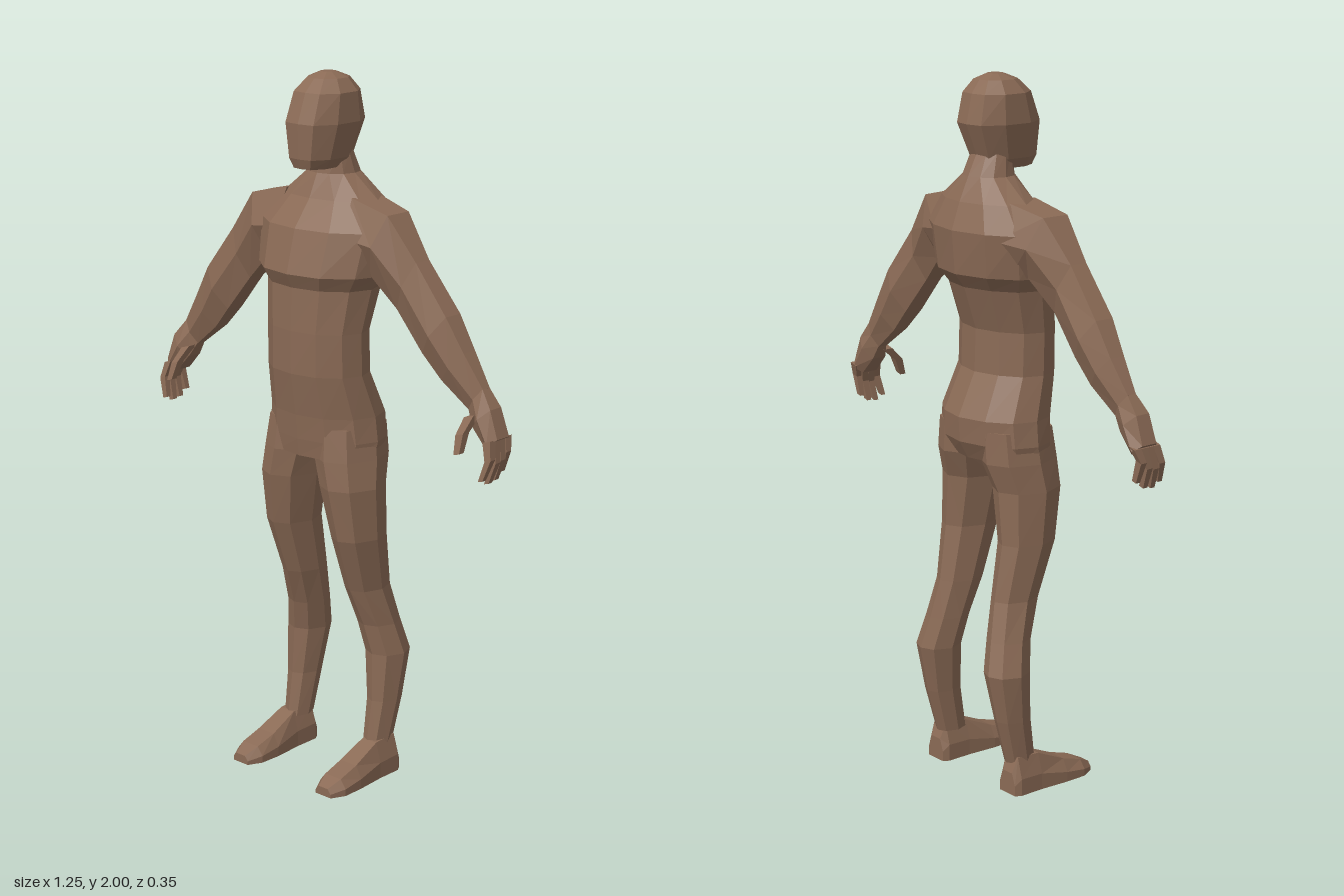
import * as THREE from 'three';

// Closed faceted skin over a list of rings (arrays of [x, y, z]); faces always point outward.
function loft(rings) {
  const tris = [];
  const n = rings[0].length;
  for (let r = 0; r < rings.length - 1; r++) {
    for (let i = 0; i < n; i++) {
      const j = (i + 1) % n;
      const a = rings[r][i], b = rings[r][j], c = rings[r + 1][j], d = rings[r + 1][i];
      tris.push([a, b, c], [a, c, d]);
    }
  }
  const cap = (ring, flip) => {
    const mid = [0, 1, 2].map((k) => ring.reduce((sum, p) => sum + p[k], 0) / n);
    ring.forEach((p, i) => {
      const q = ring[(i + 1) % n];
      tris.push(flip ? [mid, q, p] : [mid, p, q]);
    });
  };
  cap(rings[0], true);
  cap(rings[rings.length - 1], false);
  let volume = 0;
  for (const [a, b, c] of tris) {
    volume += new THREE.Vector3(...a).dot(new THREE.Vector3(...b).cross(new THREE.Vector3(...c)));
  }
  if (volume < 0) tris.forEach((t) => t.reverse());
  const geometry = new THREE.BufferGeometry();
  geometry.setAttribute('position', new THREE.Float32BufferAttribute(tris.flat(2), 3));
  geometry.computeVertexNormals();
  return geometry;
}

// Symmetric horizontal ring from half an outline; row = [y, halfWidth, zFront, zBack]
function bodyRing([y, w, zf, zb], outline) {
  const mid = (zf + zb) / 2, half = (zf - zb) / 2;
  const side = outline.map(([u, v]) => [u * w, y, mid + v * half]);
  const other = side.slice(1, -1).reverse().map(([x, yy, z]) => [-x, yy, z]);
  return [...side, ...other];
}

const TORSO_OUTLINE = [[0, 1], [0.5, 0.88], [0.87, 0.5], [1, 0], [0.87, -0.5], [0.5, -0.84], [0, -1]];
const HEAD_OUTLINE = [[0, 1], [0.6, 0.94], [1, 0.4], [1, -0.4], [0.6, -0.92], [0, -1]];
const LIMB_OUTLINE = [[0, 1], [0.65, 0.75], [1, 0], [0.65, -0.75], [0, -1], [-0.65, -0.75], [-1, 0], [-0.65, 0.75]];

const TORSO = [
  [0.95, 0.18, 0.098, -0.12], [1.0, 0.185, 0.105, -0.148], [1.07, 0.177, 0.112, -0.152],
  [1.19, 0.16, 0.13, -0.095], [1.31, 0.16, 0.13, -0.09], [1.43, 0.175, 0.125, -0.13],
  [1.47, 0.205, 0.145, -0.162], [1.59, 0.22, 0.113, -0.172], [1.665, 0.16, 0.055, -0.145],
  [1.73, 0.075, 0.025, -0.115], [1.79, 0.062, 0.015, -0.085],
];
const HEAD = [
  [1.748, 0.05, 0.088, -0.06], [1.775, 0.066, 0.097, -0.082], [1.87, 0.085, 0.1, -0.12],
  [1.95, 0.079, 0.07, -0.102], [1.985, 0.052, 0.035, -0.075], [2.0, 0.02, 0.0, -0.04],
];
// [y, xInner, xOuter, zFront, zBack]
const LEG = [
  [1.04, 0, 0.175, 0.09, -0.13], [0.95, 0, 0.188, 0.1, -0.13], [0.87, 0.025, 0.197, 0.1, -0.102],
  [0.72, 0.055, 0.194, 0.075, -0.1], [0.56, 0.065, 0.178, 0.02, -0.125], [0.45, 0.077, 0.195, -0.022, -0.15],
  [0.36, 0.09, 0.215, -0.04, -0.173], [0.22, 0.11, 0.203, -0.035, -0.145], [0.09, 0.118, 0.192, -0.015, -0.11],
];
// [z, xInner, xOuter, yTop]
const FOOT = [
  [-0.112, 0.13, 0.195, 0.065], [-0.095, 0.12, 0.205, 0.11], [-0.02, 0.12, 0.205, 0.105],
  [0.07, 0.113, 0.212, 0.065], [0.135, 0.115, 0.212, 0.045], [0.176, 0.135, 0.192, 0.025],
];
// [xTop, yTop, xBottom, yBottom, zFront, zBack]
const ARM = [
  [0.12, 1.675, 0.14, 1.47, 0.06, -0.13], [0.25, 1.645, 0.19, 1.475, 0.055, -0.1],
  [0.34, 1.53, 0.275, 1.395, 0.03, -0.068], [0.445, 1.4, 0.365, 1.29, 0.032, -0.076],
  [0.5, 1.31, 0.425, 1.225, 0.018, -0.068], [0.558, 1.222, 0.51, 1.16, 0.0, -0.052],
];
const HAND = [
  [0.557, 1.223, 0.511, 1.161, 0.0, -0.052], [0.595, 1.175, 0.535, 1.12, 0.02, -0.062],
  [0.622, 1.1, 0.582, 1.07, 0.024, -0.066],
];

// Ring across an arm: paired points on top and bottom, one in front and one behind
function armRing([xt, yt, xb, yb, zf, zb]) {
  const mid = (zf + zb) / 2, half = (zf - zb) / 2;
  const at = (t, v) => [xt + (xb - xt) * t, yt + (yb - yt) * t, mid + v * half];
  return [at(0, 0.55), at(0.5, 1), at(1, 0.55), at(1, -0.55), at(0.5, -1), at(0, -0.55)];
}

// Tapered four-sided digit along a few points
function digit(points, radius) {
  return loft(points.map(([x, y, z], i) => {
    const r = radius * (1 - 0.2 * i);
    return [[x - r, y - r * 0.3, z - r], [x + r, y + r * 0.3, z - r], [x + r, y + r * 0.3, z + r], [x - r, y - r * 0.3, z + r]];
  }));
}

export function createModel() {
  const model = new THREE.Group();
  model.name = 'figure';
  const skin = new THREE.MeshStandardMaterial({ color: 0x8a6a55 });
  skin.name = 'brown skin';

  const add = (name, geometry, parent = model) => {
    const mesh = new THREE.Mesh(geometry, skin);
    mesh.name = name;
    parent.add(mesh);
  };

  add('torso', loft(TORSO.map((row) => bodyRing(row, TORSO_OUTLINE))));
  add('head', loft(HEAD.map((row) => bodyRing(row, HEAD_OUTLINE))));

  // Limbs for the left (+x) and right (-x) sides
  for (const [side, s] of [['left', 1], ['right', -1]]) {
    const mirror = (rings) => loft(rings.map((ring) => ring.map(([x, y, z]) => [s * x, y, z])));

    add(`${side}Leg`, mirror(LEG.map(([y, xi, xo, zf, zb]) =>
      LIMB_OUTLINE.map(([u, v]) => [(xi + xo) / 2 + (u * (xo - xi)) / 2, y, (zf + zb) / 2 + (v * (zf - zb)) / 2]))));

    add(`${side}Foot`, mirror(FOOT.map(([z, xi, xo, top]) => {
      const inset = (xo - xi) * 0.2;
      return [[xi, 0, z], [xo, 0, z], [xo, top * 0.45, z], [xo - inset, top, z], [xi + inset, top, z], [xi, top * 0.45, z]];
    })));

    add(`${side}Arm`, mirror(ARM.map(armRing)));

    // Hand with four curled fingers and a thumb
    const hand = new THREE.Group();
    hand.name = `${side}Hand`;
    model.add(hand);
    add('palm', mirror(HAND.map(armRing)), hand);
    for (let i = 0; i < 4; i++) {
      const z = 0.012 - i * 0.022;
      const reach = [0.012, 0, 0.004, 0.022][i];
      const path = [[0.602, 1.095, z], [0.615, 1.035 + reach, z + 0.012], [0.598, 0.978 + reach, z + 0.022 - i * 0.004]];
      add('finger', digit(path.map(([x, y, zz]) => [s * x, y, zz]), 0.0125), hand);
    }
    const thumb = [[0.535, 1.15, 0.0], [0.538, 1.11, 0.045], [0.543, 1.06, 0.065]];
    add('thumb', digit(thumb.map(([x, y, z]) => [s * x, y, z]), 0.016), hand);
  }
  return model;
}
